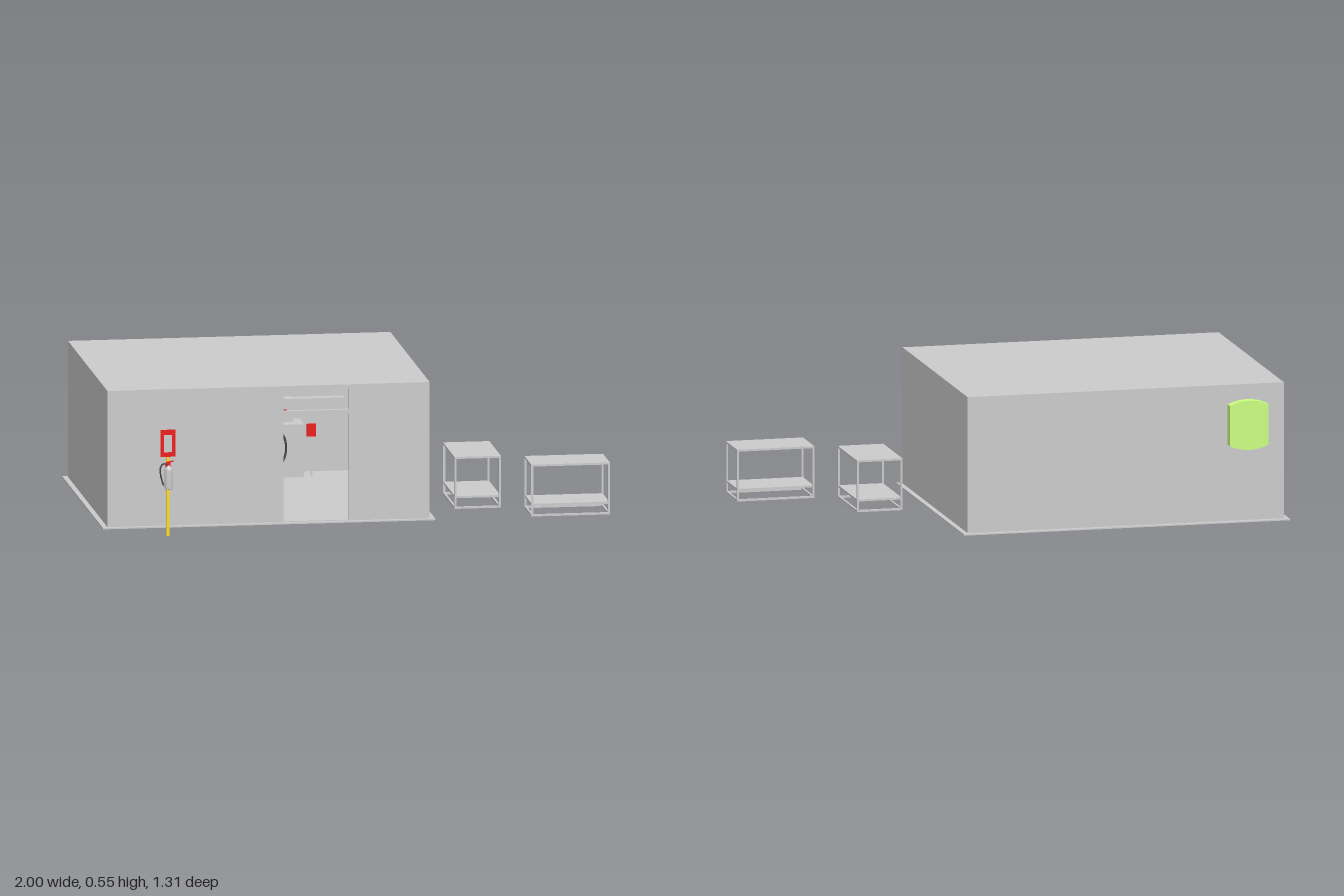
import * as THREE from 'three';

const mat = (color) => new THREE.MeshStandardMaterial({ color });
const grey = mat(0xcccccc), red = mat(0xee1414), yellow = mat(0xffdd22), green = mat(0xccff80), dark = mat(0x444444);

function add(parent, name, geometry, material = grey) {
  const mesh = new THREE.Mesh(geometry, material);
  mesh.name = name;
  parent.add(mesh);
  return mesh;
}

// Box given by its lower and upper corners
function box(parent, name, [x0, y0, z0], [x1, y1, z1], material = grey) {
  const mesh = add(parent, name, new THREE.BoxGeometry(x1 - x0, y1 - y0, z1 - z0), material);
  mesh.position.set((x0 + x1) / 2, (y0 + y1) / 2, (z0 + z1) / 2);
  return mesh;
}

function rectPath(x0, y0, x1, y1, PathType = THREE.Path) {
  const p = new PathType();
  p.moveTo(x0, y0).lineTo(x1, y0).lineTo(x1, y1).lineTo(x0, y1).closePath();
  return p;
}

function tube(parent, name, points, radius, material) {
  const curve = new THREE.CatmullRomCurve3(points.map((p) => new THREE.Vector3(...p)));
  return add(parent, name, new THREE.TubeGeometry(curve, 24, radius, 8), material);
}

// Hollow room with an open doorway and transom
function building() {
  const g = new THREE.Group();
  g.name = 'building';
  const T = 0.02, x0 = -0.98, x1 = 0.29, z0 = -0.62, z1 = 0.43, f = 0.005, h = 0.545;
  box(g, 'floorSlab', [-1, 0, -0.643], [0.31, f, 0.45]);
  box(g, 'roof', [x0, h - 0.01, z0], [x1, h, z1]);
  box(g, 'backWall', [x0, f, z0], [x1, h - 0.01, z0 + T]);
  box(g, 'rightWall', [x0, f, z0 + T], [x0 + T, h - 0.01, z1 - T]);
  box(g, 'leftWall', [x1 - T, f, z0 + T], [x1, h - 0.01, z1 - T]);
  const shape = rectPath(x0, f, x1, h - 0.01, THREE.Shape);
  shape.holes.push(rectPath(-0.287, f + 0.003, -0.028, 0.428), rectPath(-0.287, 0.445, -0.028, 0.528));
  add(g, 'frontWall', new THREE.ExtrudeGeometry(shape, { depth: T, bevelEnabled: false })).position.z = z1 - T;
  return g;
}

// Cabinet, control box and hose against the inside of the back wall
function equipment() {
  const g = new THREE.Group();
  g.name = 'equipment';
  box(g, 'cabinet', [-0.32, 0.005, -0.6], [-0.07, 0.215, -0.48]);
  box(g, 'controlBox', [-0.23, 0.215, -0.6], [-0.105, 0.305, -0.54]);
  box(g, 'labelPlate', [-0.2, 0.258, -0.541], [-0.13, 0.265, -0.539], red);
  box(g, 'wallShelf', [-0.45, 0.292, -0.6], [0.1, 0.302, -0.56]);
  const hose = add(g, 'coiledHose', new THREE.TorusGeometry(0.065, 0.004, 8, 40), dark);
  hose.scale.y = 1.35;
  hose.position.set(-0.207, 0.125, -0.474);
  box(g, 'standPost', [-0.042, 0.005, -0.52], [-0.032, 0.16, -0.51]);
  box(g, 'standSign', [-0.055, 0.16, -0.515], [-0.02, 0.21, -0.508], red);
  return g;
}

// Open frame bench with a top and a low shelf
function bench(name, x0, z0, x1, z1) {
  const g = new THREE.Group();
  g.name = name;
  const t = 0.008, top = 0.206;
  for (const x of [x0, x1 - t]) {
    for (const z of [z0, z1 - t]) box(g, 'leg', [x, 0, z], [x + t, top - t, z + t]);
    box(g, 'sideRail', [x, 0, z0 + t], [x + t, t, z1 - t]);
  }
  for (const z of [z0, z1 - t]) box(g, 'crossRail', [x0 + t, 0, z], [x1 - t, t, z + t]);
  box(g, 'top', [x0, top - t, z0], [x1, top, z1]);
  box(g, 'shelf', [x0 + 0.002, 0.042, z0 + 0.002], [x1 - 0.002, 0.05, z1 - 0.002]);
  return g;
}

// Extinguisher with a sign on a yellow post
function extinguisherStand() {
  const g = new THREE.Group();
  g.name = 'extinguisherStand';
  const x = -0.77, z = 0.641;
  box(g, 'post', [x - 0.006, 0, 0.612], [x + 0.006, 0.42, 0.622], yellow);
  // Sign: red frame around a plain panel
  const frame = rectPath(x - 0.029, 0.315, x + 0.029, 0.422, THREE.Shape);
  frame.holes.push(rectPath(x - 0.015, 0.333, x + 0.015, 0.402));
  add(g, 'signFrame', new THREE.ExtrudeGeometry(frame, { depth: 0.003, bevelEnabled: false }), red).position.z = 0.622;
  box(g, 'signPanel', [x - 0.015, 0.333, 0.6225], [x + 0.015, 0.402, 0.6245]);
  box(g, 'bracket', [x - 0.009, 0.21, 0.62], [x + 0.009, 0.285, 0.63], red);
  const profile = [[0, 0.19], [0.014, 0.19], [0.016, 0.194], [0.016, 0.265], [0.013, 0.274], [0.006, 0.28], [0.005, 0.29], [0, 0.29]];
  const body = add(g, 'cylinderBody', new THREE.LatheGeometry(profile.map((p) => new THREE.Vector2(...p)), 24));
  body.position.set(x, 0, z);
  box(g, 'valve', [x - 0.007, 0.284, z - 0.007], [x + 0.007, 0.294, z + 0.007], red);
  const lever = box(g, 'lever', [x - 0.012, 0.296, z - 0.003], [x + 0.02, 0.3, z + 0.003], red);
  lever.rotation.z = 0.2;
  tube(g, 'hose', [[x - 0.004, 0.288, z], [x - 0.022, 0.29, z], [x - 0.033, 0.272, z], [x - 0.03, 0.24, z], [x - 0.02, 0.205, z]], 0.003, dark);
  return g;
}

// Wall box with arched top and bottom
function wallUnit() {
  const s = new THREE.Shape();
  s.moveTo(-0.078, 0.307).quadraticCurveTo(0, 0.273, 0.078, 0.307);
  s.lineTo(0.078, 0.468).quadraticCurveTo(0, 0.502, -0.078, 0.468).closePath();
  const geometry = new THREE.ExtrudeGeometry(s, { depth: 0.038, bevelEnabled: false, curveSegments: 16 });
  const mesh = new THREE.Mesh(geometry, green);
  mesh.name = 'wallUnit';
  mesh.position.set(-0.832, 0, -0.657);
  return mesh;
}

export function createModel() {
  const model = new THREE.Group();
  model.name = 'utilityRoom';
  model.add(
    building(), equipment(), extinguisherStand(), wallUnit(),
    bench('deepBench', 0.417, -0.077, 0.6, 0.23),
    bench('wideBench', 0.69, 0.247, 1, 0.43)
  );
  return model;
}
